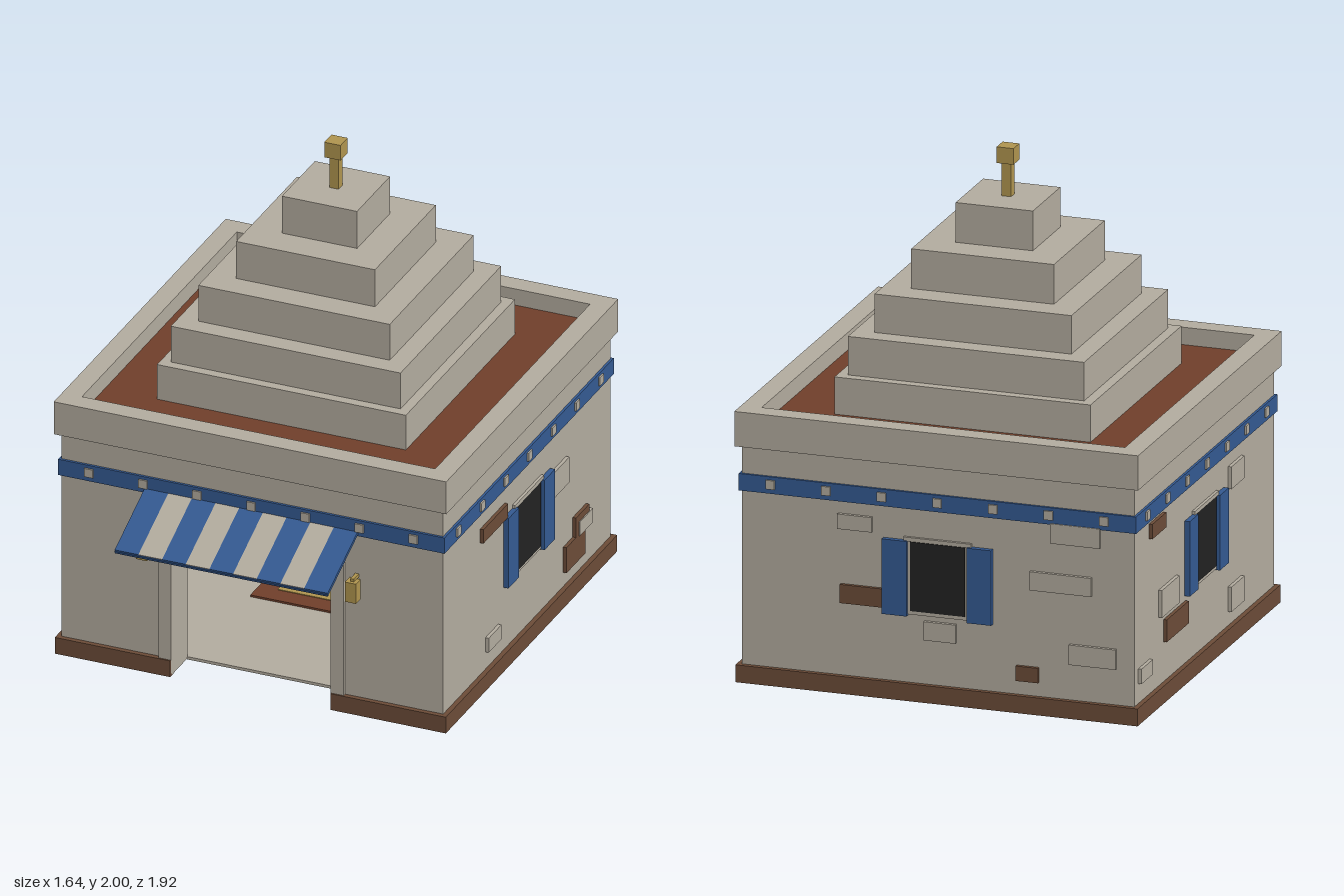
import * as THREE from 'three';

const paint = (name, color) => {
  const m = new THREE.MeshStandardMaterial({ color });
  m.name = name;
  return m;
};

export function createModel() {
  const stone = paint('stone', 0xb3ac9f);
  const blue = paint('blue', 0x345a92);
  const brown = paint('brown', 0x6c4c38);
  const clay = paint('clay', 0x703f2b);
  const gold = paint('gold', 0xb0954f);
  const dark = paint('dark', 0x222222);

  const model = new THREE.Group();
  model.name = 'shop';
  // The house is centred a little behind the origin, the awning fills the front
  const house = new THREE.Group();
  house.name = 'house';
  house.position.z = -0.137;
  model.add(house);

  // Box given by its lower and upper limits on each axis
  const box = (parent, name, mat, [x0, x1], [y0, y1], [z0, z1]) => {
    const mesh = new THREE.Mesh(new THREE.BoxGeometry(x1 - x0, y1 - y0, z1 - z0), mat);
    mesh.position.set((x0 + x1) / 2, (y0 + y1) / 2, (z0 + z1) / 2);
    mesh.name = name;
    parent.add(mesh);
    return mesh;
  };
  // Square ring with outer and inner half widths
  const ring = (name, mat, o, i, y) => {
    box(house, name, mat, [-o, o], y, [i, o]);
    box(house, name, mat, [-o, o], y, [-o, -i]);
    box(house, name, mat, [i, o], y, [-i, i]);
    box(house, name, mat, [-o, -i], y, [-i, i]);
  };

  const W = 0.797, I = 0.657, D = 0.335;

  // Walls, open at the door
  box(house, 'backWall', stone, [-W, W], [0.002, 0.95], [-W, -I]);
  for (const s of [-1, 1]) {
    const span = (a, b) => (s > 0 ? [a, b] : [-b, -a]);
    box(house, 'sideWall', stone, span(I, W), [0.002, 0.95], [-I, I]);
    box(house, 'frontWall', stone, span(D, W), [0.002, 0.95], [I, W]);
    // Plinth beside the door and along the sides
    box(house, 'plinth', brown, span(D, 0.817), [0, 0.07], [W - 0.01, 0.817]);
    box(house, 'plinth', brown, span(W - 0.01, 0.817), [0, 0.07], [-0.817, W - 0.01]);
    // Door jamb
    box(house, 'doorJamb', stone, span(D - 0.002, 0.387), [0.012, 0.73], [I, 0.811]);
    // Lantern on its bracket
    box(house, 'lantern', gold, span(0.414, 0.46), [0.505, 0.59], [0.815, 0.859]);
    box(house, 'lanternBracket', gold, span(0.43, 0.445), [0.588, 0.602], [W, 0.845]);
  }
  box(house, 'plinth', brown, [-0.787, 0.787], [0, 0.07], [-0.817, -0.787]);
  box(house, 'wallOverDoor', stone, [-D, D], [0.7, 0.95], [I, W]);
  box(house, 'doorLintel', stone, [-0.387, 0.387], [0.67, 0.73], [I, 0.81]);

  // Floor and rug
  box(house, 'floor', stone, [-W, W], [0, 0.012], [-W, I]);
  box(house, 'rug', clay, [-0.31, 0.31], [0.012, 0.02], [-0.33, 0.11]);
  box(house, 'rugCentre', gold, [-0.23, 0.23], [0.02, 0.023], [-0.25, 0.03]);

  // Blue band with square studs
  ring('band', blue, 0.807, 0.79, [0.77, 0.838]);
  // Parapet and flat roof
  ring('parapet', stone, 0.82, 0.738, [0.95, 1.09]);
  box(house, 'roof', clay, [-0.738, 0.738], [0.95, 1.02], [-0.738, 0.738]);

  // Stepped tower and finial
  [[0.52, 1.02, 1.17], [0.48, 1.17, 1.325], [0.4, 1.325, 1.48], [0.29, 1.48, 1.64], [0.157, 1.64, 1.8]]
    .forEach(([h, a, b]) => box(house, 'towerStep', stone, [-h, h], [a, b], [-h, h]));
  box(house, 'finialRod', gold, [-0.019, 0.019], [1.8, 1.94], [-0.019, 0.019]);
  box(house, 'finialCube', gold, [-0.034, 0.034], [1.935, 2], [-0.034, 0.034]);

  // Details of one wall, built facing +z with u to the viewer's right.
  // Bricks: u, y, width, height, material
  const wallSide = (name, angle, bricks, hasWindow) => {
    const side = new THREE.Group();
    side.name = name;
    side.rotation.y = angle;
    house.add(side);
    for (let i = -3; i <= 3; i++) {
      const u = i * 0.226;
      box(side, 'stud', stone, [u - 0.018, u + 0.018], [0.789, 0.825], [0.8, 0.814]);
    }
    for (const [u, y, w, h, mat, out = 0] of bricks) {
      box(side, 'brick', mat, [u - w / 2, u + w / 2], [y - h / 2, y + h / 2], [W - 0.01, 0.811 + out]);
    }
    if (!hasWindow) return;
    box(side, 'windowFrame', stone, [-0.123, 0.123], [0.345, 0.645], [W - 0.01, 0.803]);
    box(side, 'windowPane', dark, [-0.111, 0.111], [0.36, 0.638], [0.8, 0.807]);
    box(side, 'windowLintel', stone, [-0.137, 0.137], [0.64, 0.656], [W - 0.01, 0.809]);
    for (const s of [-1, 1]) {
      box(side, 'shutter', blue, [s * 0.172 - 0.05, s * 0.172 + 0.05], [0.34, 0.642], [W - 0.01, 0.818]);
    }
  };
  wallSide('frontDetails', 0, [], false);
  wallSide('leftDetails', Math.PI / 2, [
    [-0.327, 0.67, 0.235, 0.06, brown],
    [0.295, 0.565, 0.16, 0.11, stone],
    [-0.333, 0.175, 0.122, 0.062, stone],
    [0.438, 0.185, 0.18, 0.11, brown],
    [0.502, 0.282, 0.127, 0.085, brown],
    [0.528, 0.265, 0.127, 0.06, stone, 0.004],
  ], true);
  wallSide('backDetails', Math.PI, [
    [-0.336, 0.69, 0.14, 0.06, stone],
    [-0.305, 0.4, 0.18, 0.075, brown],
    [0.01, 0.287, 0.13, 0.075, stone],
    [0.56, 0.735, 0.2, 0.08, stone],
    [0.5, 0.535, 0.25, 0.075, stone],
    [0.63, 0.255, 0.19, 0.08, stone],
    [0.365, 0.157, 0.09, 0.06, brown],
  ], true);
  wallSide('rightDetails', -Math.PI / 2, [
    [-0.55, 0.725, 0.16, 0.06, brown],
    [0.347, 0.176, 0.15, 0.1, stone],
    [-0.42, 0.4, 0.2, 0.11, stone],
    [-0.34, 0.275, 0.25, 0.09, brown],
    [-0.688, 0.18, 0.13, 0.06, stone],
    [0.347, 0.665, 0.15, 0.09, stone],
  ], true);

  // Striped awning sloping down from the band
  const awning = new THREE.Group();
  awning.name = 'awning';
  const drop = 0.128, reach = 0.285, length = Math.hypot(drop, reach);
  awning.position.set(0, 0.783, 0.67);
  awning.rotation.x = Math.atan2(drop, reach);
  model.add(awning);
  const w = 0.89 / 9;
  for (let i = 0; i < 9; i++) {
    const x = -0.445 + i * w;
    box(awning, 'awningStripe', i % 2 ? stone : blue, [x, x + w], [-0.007, 0.007], [0, length]);
  }
  box(awning, 'awningEdge', blue, [-0.445, 0.445], [-0.009, 0.004], [length, length + 0.004]);

  return model;
}
